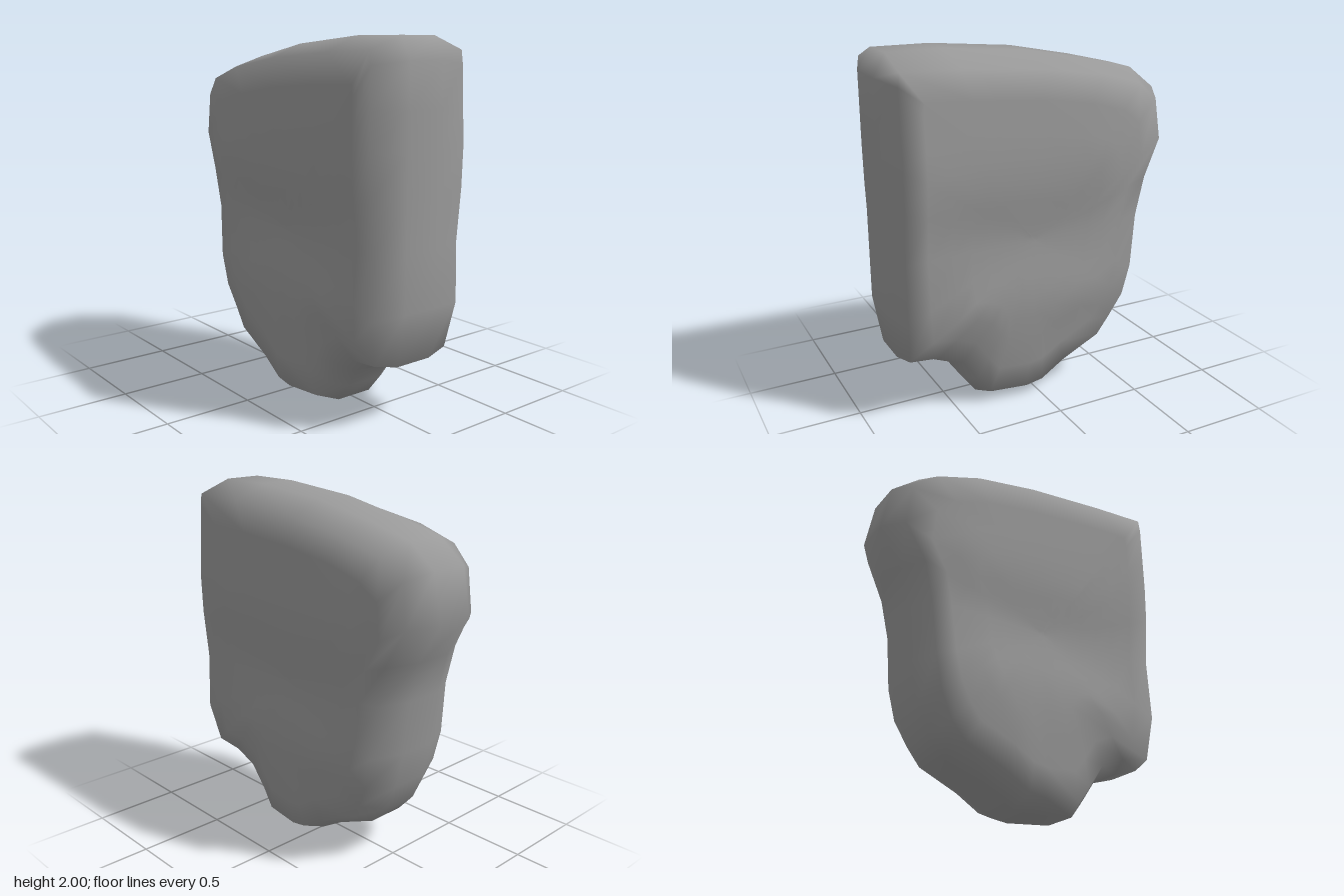
import * as THREE from 'three';

// Outer edge and face rim, clockwise from the top corner: edge x, y, rim x, y, rim depth factor
const OUTLINE = [
  [0.79, 2.0, 0.79, 1.93, 1], [0.855, 1.88, 0.8, 1.86, 1], [0.855, 1.65, 0.8, 1.65, 1],
  [0.855, 1.45, 0.8, 1.45, 1], [0.855, 1.23, 0.8, 1.23, 1], [0.855, 0.95, 0.8, 0.95, 1],
  [0.855, 0.64, 0.8, 0.62, 0.95], [0.805, 0.355, 0.78, 0.38, 0.83], [0.65, 0.31, 0.61, 0.36, 0.81],
  [0.505, 0.25, 0.47, 0.3, 0.81], [0.42, 0.13, 0.38, 0.17, 0.84], [0.34, 0.025, 0.3, 0.07, 0.92],
  [0.07, 0.005, 0.08, 0.06, 1], [-0.03, 0.02, -0.02, 0.08, 1], [-0.18, 0.11, -0.16, 0.17, 0.95],
  [-0.43, 0.22, -0.39, 0.28, 0.88], [-0.53, 0.33, -0.47, 0.38, 0.85], [-0.6, 0.49, -0.54, 0.52, 0.88],
  [-0.645, 0.7, -0.58, 0.7, 0.92], [-0.68, 1.0, -0.61, 1.0, 0.95], [-0.73, 1.22, -0.66, 1.22, 0.88],
  [-0.86, 1.44, -0.77, 1.43, 0.78], [-0.81, 1.7, -0.74, 1.66, 0.78], [-0.65, 1.825, -0.61, 1.76, 0.9],
  [-0.37, 1.89, -0.36, 1.83, 0.96], [0, 1.96, 0, 1.885, 0.97], [0.47, 2.0, 0.47, 1.92, 0.98],
];
// Thickness by height: y, front z, back z
const DEPTH = [
  [0, 0.25, 0.23], [0.08, 0.27, 0.25], [0.3, 0.3, 0.285], [0.6, 0.315, 0.315],
  [0.97, 0.283, 0.288], [1.35, 0.322, 0.322], [1.93, 0.32, 0.295], [2, 0.32, 0.29],
];

function depthAt(y, side) {
  const i = Math.max(1, DEPTH.findIndex((d) => d[0] >= y));
  const a = DEPTH[i - 1], b = DEPTH[i];
  return THREE.MathUtils.lerp(a[side], b[side], THREE.MathUtils.smoothstep(y, a[0], b[0]));
}

// Loop on one face, shrunk from the rim toward the middle by s
function faceLoop(side, s) {
  const sign = side === 1 ? 1 : -1;
  return OUTLINE.map(([, , x, y, f]) => {
    const px = 0.06 + (x - 0.06) * s, py = 0.97 + (y - 0.97) * s;
    const k = THREE.MathUtils.lerp(1, f, THREE.MathUtils.smoothstep(s, 0.65, 1));
    return [px, py, sign * depthAt(py, side) * k];
  });
}

const edgeLoop = (z) => OUTLINE.map(([x, y]) => [x, y, z]);

function createSlab() {
  const scales = [0.02, 0.12, 0.24, 0.36, 0.5, 0.65, 0.83, 1];
  const loops = [
    ...scales.map((s) => faceLoop(1, s)),
    edgeLoop(0.12), edgeLoop(-0.1),
    ...scales.slice().reverse().map((s) => faceLoop(2, s)),
  ];
  const n = OUTLINE.length;
  const positions = loops.flat(2);
  const index = [];
  for (let r = 0; r < loops.length - 1; r++) {
    for (let i = 0; i < n; i++) {
      const j = (i + 1) % n;
      const a = r * n + i, b = r * n + j, c = a + n, d = b + n;
      index.push(a, b, c, b, d, c);
    }
  }
  // Close the small hole in the middle of each face
  const last = (loops.length - 1) * n;
  for (let i = 1; i < n - 1; i++) {
    index.push(0, i + 1, i);
    index.push(last, last + i, last + i + 1);
  }
  const geometry = new THREE.BufferGeometry();
  geometry.setAttribute('position', new THREE.Float32BufferAttribute(positions, 3));
  geometry.setIndex(index);
  geometry.computeVertexNormals();
  return geometry;
}

export function createModel() {
  const group = new THREE.Group();
  group.name = 'roundedSlab';
  const body = new THREE.Mesh(createSlab(), new THREE.MeshStandardMaterial({ color: 0x9a9a9a }));
  body.name = 'slabBody';
  group.add(body);
  return group;
}
